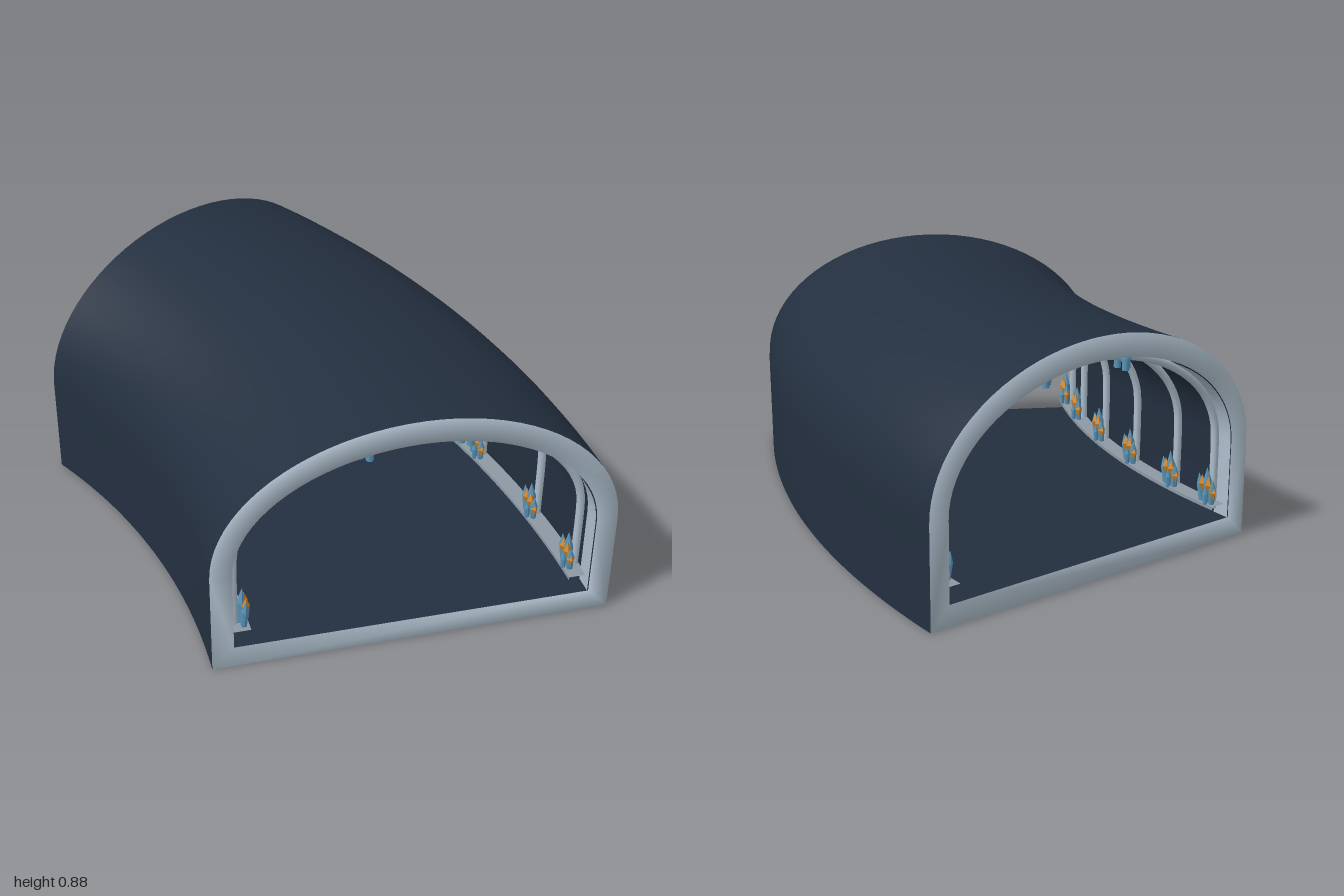
import * as THREE from 'three';
import { toCreasedNormals } from 'three/addons/utils/BufferGeometryUtils.js';

const R = 3.302, CX = -3.13, BEND = Math.PI / 6, SPRING = 0.375;
const rad = THREE.MathUtils.degToRad;

const mat = (name, color, side = THREE.FrontSide) => {
  const m = new THREE.MeshStandardMaterial({ color, side });
  m.name = name;
  return m;
};

// Closed tunnel outline (counter-clockwise): floor, walls, elliptical arch
function outline(w, floor, h, n = 40) {
  const pts = [[R - w, floor], [R + w, floor]];
  for (let i = 0; i <= n; i++) {
    const t = (i / n) * Math.PI;
    pts.push([R + w * Math.cos(t), SPRING + h * Math.sin(t)]);
  }
  return pts;
}

// Sweep an outline of [radius, height] points around the bend's centre
function sweep(pts, a0, a1, steps, closed = true) {
  const pos = [], idx = [], n = pts.length;
  for (let j = 0; j <= steps; j++) {
    const a = a0 + ((a1 - a0) * j) / steps;
    for (const [r, y] of pts) pos.push(r * Math.cos(a), y, -r * Math.sin(a));
  }
  for (let j = 0; j < steps; j++)
    for (let i = 0; i < (closed ? n : n - 1); i++) {
      const k = (i + 1) % n, A = j * n + i, B = A + n, C = (j + 1) * n + k, D = j * n + k;
      idx.push(A, B, C, A, C, D);
    }
  const g = new THREE.BufferGeometry();
  g.setAttribute('position', new THREE.Float32BufferAttribute(pos, 3));
  g.setIndex(idx);
  return toCreasedNormals(g, rad(35));
}

// Flat end ring between two outlines, with softly rounded normals
function endRing(outer, inner, dir) {
  const pos = [], nor = [], idx = [], n = outer.length;
  const v = new THREE.Vector3();
  outer.forEach(([x, y], i) => {
    const [u, w] = inner[i];
    pos.push(x, y, 0, u, w, 0);
    v.set(x - u, y - w, 0).normalize().multiplyScalar(0.6);
    for (const s of [1, -1]) {
      const q = new THREE.Vector3(v.x * s, v.y * s, dir).normalize();
      nor.push(q.x, q.y, q.z);
    }
    const a = 2 * i, b = 2 * ((i + 1) % n);
    if (dir > 0) idx.push(a, b, b + 1, a, b + 1, a + 1);
    else idx.push(a, b + 1, b, a, a + 1, b + 1);
  });
  const g = new THREE.BufferGeometry();
  g.setAttribute('position', new THREE.Float32BufferAttribute(pos, 3));
  g.setAttribute('normal', new THREE.Float32BufferAttribute(nor, 3));
  g.setIndex(idx);
  return g;
}

export function createModel() {
  const model = new THREE.Group();
  model.name = 'curvedTunnel';
  const bend = new THREE.Group();
  bend.name = 'bend';
  bend.position.set(CX, 0, 1);
  model.add(bend);

  const navy = mat('navy shell', 0x232f3f);
  const pale = mat('pale frame', 0xaebfcd);
  const grey = mat('grey ledge', 0x8c98a4);
  const blue = mat('crystal blue', 0x5a94b8);
  const orange = mat('amber', 0xd08a2c);

  const add = (parent, name, geo, m, x = 0, y = 0, z = 0) => {
    const mesh = new THREE.Mesh(geo, m);
    mesh.name = name;
    mesh.position.set(x, y, z);
    parent.add(mesh);
    return mesh;
  };
  // Group turned to a station along the bend; its x is the radius
  const station = (name, a) => {
    const g = new THREE.Group();
    g.name = name;
    g.rotation.y = a;
    bend.add(g);
    return g;
  };

  // Shell, inside and out
  const outer = outline(0.698, 0, 0.5), inner = outline(0.623, 0.08, 0.415);
  add(bend, 'outerShell', sweep(outer, 0, BEND, 40), navy);
  add(bend, 'innerShell', sweep([...inner].reverse(), 0, BEND, 40), navy);

  // End frames and the short linings behind them
  add(station('frontFrame', 0), 'frontFrameRing', endRing(outer, inner, 1), pale);
  add(station('backFrame', BEND), 'backFrameRing', endRing(outer, inner, -1), pale);
  const lining = outline(0.619, 0.08, 0.411).slice(1);
  lining.push([R - 0.619, 0.08]);
  lining.reverse();
  add(bend, 'frontLining', sweep(lining, 0, rad(1), 2, false), pale);
  add(bend, 'backLining', sweep(lining, BEND - rad(1.5), BEND, 2, false), pale);

  // Ledges along both walls
  const ledge = (r0, r1) =>
    sweep([[r0, 0.115], [r1, 0.115], [r1, 0.128], [r0, 0.128]], rad(0.4), BEND - rad(0.4), 30);
  add(bend, 'leftLedge', ledge(R + 0.56, R + 0.625), grey);
  add(bend, 'rightLedge', ledge(R - 0.625, R - 0.56), grey);

  // Shared geometry for ribs, crystals and ceiling lamps
  const ribPts = outline(0.608, 0.1, 0.4, 24).slice(1);
  ribPts.push([R - 0.608, 0.1]);
  const ribCurve = new THREE.CatmullRomCurve3(ribPts.map(([x, y]) => new THREE.Vector3(x, y, 0)));
  const ribGeo = new THREE.TubeGeometry(ribCurve, 60, 0.015, 8);
  const shard = (r, h) => new THREE.LatheGeometry([
    new THREE.Vector2(0, 0), new THREE.Vector2(r * 0.8, 0),
    new THREE.Vector2(r, h * 0.6), new THREE.Vector2(0, h)], 6).toNonIndexed();
  const shards = [[0.016, 0.14, 0.006, 0], [0.013, 0.1, 0, 0.026], [0.013, 0.11, 0, -0.026], [0.01, 0.07, -0.018, 0.012]]
    .map(([r, h, x, z]) => {
      const g = shard(r, h);
      g.computeVertexNormals();
      return { g, x, z };
    });
  const gemGeo = new THREE.OctahedronGeometry(0.02).scale(0.75, 1.7, 0.75);
  const lampGeo = new THREE.CylinderGeometry(0.013, 0.013, 0.05, 10);
  const capGeo = new THREE.CylinderGeometry(0.017, 0.017, 0.014, 10);

  [1.5, 6, 12, 18, 24, 28.5].forEach((deg, i) => {
    const s = station('bay' + (i + 1), rad(deg));
    add(s, 'rib', ribGeo, pale);

    // Crystal clusters on each ledge, leaning towards the wall
    for (const side of [1, -1]) {
      const c = new THREE.Group();
      c.name = side > 0 ? 'leftCrystals' : 'rightCrystals';
      c.position.set(R + side * 0.58, 0.126, 0);
      if (side < 0) c.rotation.y = Math.PI;
      s.add(c);
      for (const { g, x, z } of shards) add(c, 'shard', g, blue, x, 0, z).rotation.set(z * 4, 0, 0.06);
      for (const z of [-0.015, 0.017]) add(c, 'amberGem', gemGeo, orange, -0.011, 0.075, z);
      add(c, 'lowGem', gemGeo, orange, -0.004, 0.05, 0.036);
    }

    // Pairs of small lamps hanging either side of the crown
    for (const side of [1, -1]) {
      const l = new THREE.Group();
      l.name = 'ceilingLamp';
      l.position.set(R + side * 0.17, 0.74, 0);
      s.add(l);
      for (const [x, z] of [[-0.012, 0], [0.012, 0.022], [0.012, -0.022]]) {
        add(l, 'lampTube', lampGeo, blue, x, 0, z);
        add(l, 'lampCollar', capGeo, blue, x, 0.014, z);
      }
    }
  });
  return model;
}
